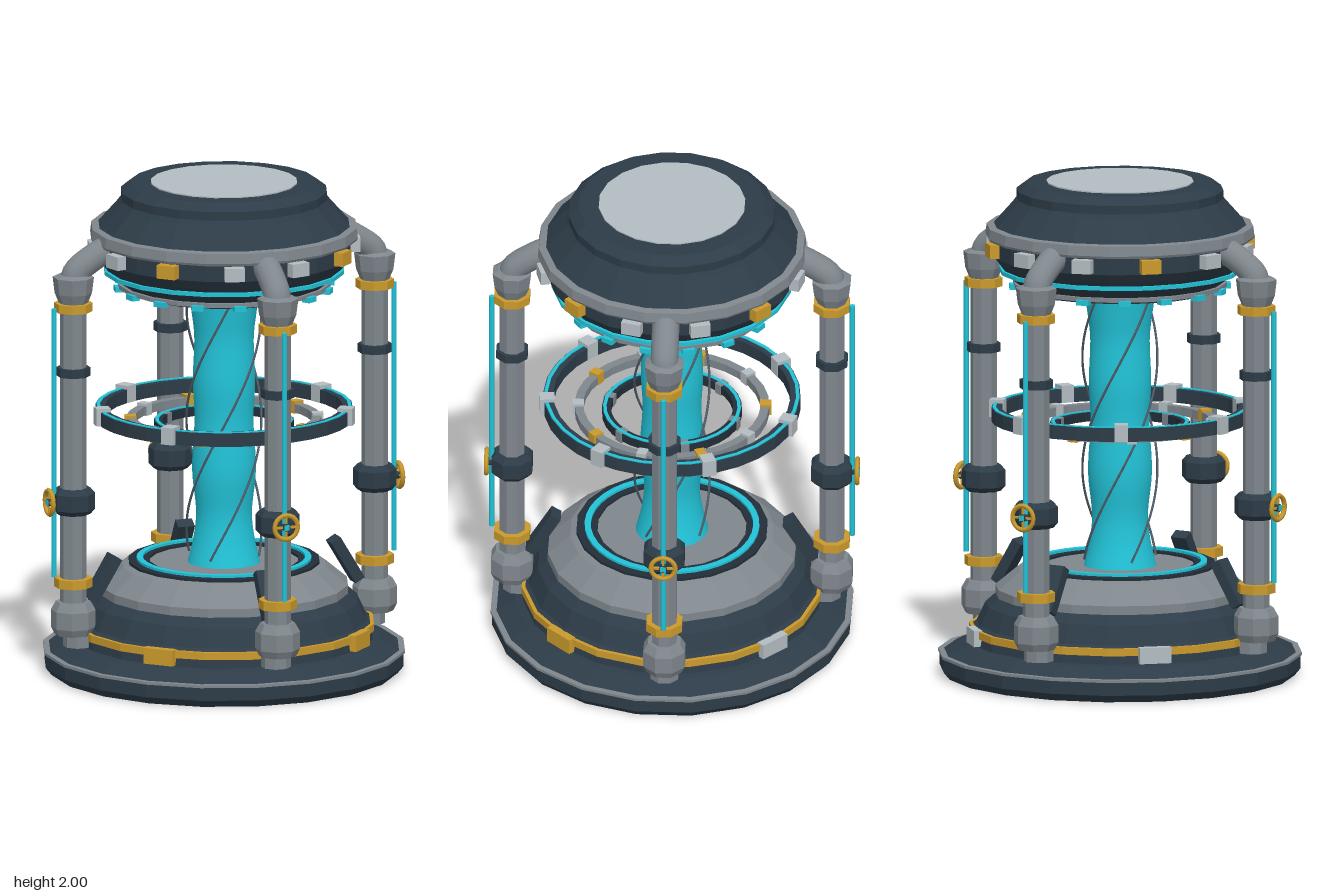
import * as THREE from 'three';

const mat = (name, color) => {
  const m = new THREE.MeshStandardMaterial({ color });
  m.name = name;
  return m;
};

export function createModel() {
  const dark = mat('dark blue steel', 0x2d3c48);
  const black = mat('deep steel', 0x232e38);
  const grey = mat('grey steel', 0x7f878d);
  const light = mat('light panel', 0xb3bdc2);
  const gold = mat('gold', 0xcb9a2c);
  const teal = mat('glowing teal', 0x22c3d8);
  const wire = mat('wire grey', 0x52606b);

  const root = new THREE.Group();
  root.name = 'containmentChamber';

  const add = (parent, name, geo, material, x = 0, y = 0, z = 0) => {
    const m = new THREE.Mesh(geo, material);
    m.name = name;
    m.position.set(x, y, z);
    parent.add(m);
    return m;
  };
  // Faceted or smooth turned part from [radius, height] pairs, bottom to top
  const turned = (parts, sides = 20, smooth = false) => {
    const g = new THREE.LatheGeometry(parts.map(([r, y]) => new THREE.Vector2(r, y)), sides);
    if (smooth) return g;
    const f = g.toNonIndexed();
    f.computeVertexNormals();
    return f;
  };
  // Ring with a rectangular section
  const band = (r0, r1, y0, y1, sides = 20) =>
    turned([[r0, y0], [r1, y0], [r1, y1], [r0, y1], [r0, y0]], sides);
  const box = (w, h, d) => new THREE.BoxGeometry(w, h, d);
  // Blocks spread round the axis, facing outward
  const around = (name, n, r, y, size, pick, start = 0) => {
    for (let i = 0; i < n; i++) {
      const a = start + (i / n) * Math.PI * 2;
      const m = add(root, name, box(...size), pick(i), Math.sin(a) * r, y, Math.cos(a) * r);
      m.rotation.y = a;
    }
  };

  // Base
  add(root, 'baseFlange', turned([[0, 0], [0.7, 0], [0.725, 0.03], [0.725, 0.085], [0.63, 0.13],
    [0.6, 0.135], [0.59, 0.2], [0.575, 0.21], [0.54, 0.285], [0.5, 0.32], [0, 0.32]]), dark);
  add(root, 'baseLip', band(0.7, 0.73, 0.083, 0.094), grey);
  add(root, 'goldBand', band(0.57, 0.605, 0.17, 0.2), gold);
  around('baseBadge', 4, 0.598, 0.172, [0.13, 0.065, 0.035], i => (i < 2 ? gold : light));
  add(root, 'pedestal', turned([[0.48, 0.31], [0.5, 0.32], [0.5, 0.355], [0.41, 0.43], [0.38, 0.44], [0, 0.44]]), grey);
  add(root, 'pedestalRim', band(0.3, 0.385, 0.43, 0.45), black);
  add(root, 'pedestalGlow', band(0.325, 0.35, 0.44, 0.46, 40), teal);

  // Energy column with helical wires
  const column = new THREE.SplineCurve([[0.145, 0.44], [0.122, 0.54], [0.112, 0.65], [0.128, 0.82], [0.118, 1.02],
    [0.125, 1.18], [0.119, 1.35], [0.13, 1.46], [0.148, 1.58]].map(p => new THREE.Vector2(...p)));
  add(root, 'energyColumn', turned(column.getPoints(40).map(p => [p.x, p.y]), 32, true), teal);
  for (let k = 0; k < 4; k++) {
    const pts = [];
    for (let i = 0; i <= 24; i++) {
      const y = 0.47 + (i / 24) * 1.1;
      const a = ((y - 1.35) / 1.8 + k / 4) * Math.PI * 2;
      pts.push(new THREE.Vector3(Math.sin(a) * 0.15, y, Math.cos(a) * 0.15));
    }
    add(root, 'helixWire', new THREE.TubeGeometry(new THREE.CatmullRomCurve3(pts), 60, 0.005, 5), wire);
  }

  // Floating rings
  add(root, 'outerRing', band(0.475, 0.515, 1.025, 1.08, 32), dark);
  add(root, 'outerRingGlow', band(0.497, 0.511, 1.077, 1.084, 32), teal);
  around('outerRingBlock', 7, 0.5, 1.06, [0.055, 0.07, 0.06], () => light);
  add(root, 'middleRing', band(0.355, 0.39, 1.0, 1.035, 32), grey);
  around('middleRingBlock', 10, 0.375, 1.02, [0.04, 0.05, 0.045], i => (i % 2 ? light : gold), 0.2);
  add(root, 'innerRing', band(0.245, 0.28, 0.985, 1.02, 32), black);
  add(root, 'innerRingGlow', band(0.262, 0.276, 1.017, 1.024, 32), teal);
  around('innerRingBlock', 6, 0.263, 1.0, [0.035, 0.045, 0.042], () => grey, 0.5);

  // Head
  add(root, 'headBody', turned([[0, 1.58], [0.4, 1.58], [0.45, 1.62], [0.485, 1.665], [0.51, 1.7], [0.51, 1.82],
    [0.43, 1.91], [0.415, 1.93], [0.415, 1.965], [0.375, 1.995], [0, 1.995]]), dark);
  add(root, 'headUnderside', turned([[0, 1.565], [0.4, 1.565], [0.4, 1.585]]), black);
  add(root, 'headLowerTrim', band(0.39, 0.43, 1.575, 1.592), grey);
  add(root, 'headGlow', band(0.44, 0.485, 1.632, 1.648), teal);
  add(root, 'headBand', turned([[0.49, 1.77], [0.535, 1.77], [0.54, 1.78], [0.535, 1.82], [0.5, 1.825]]), grey);
  add(root, 'headCap', turned([[0.295, 1.99], [0.295, 2], [0, 2]]), light);
  around('headBlock', 12, 0.525, 1.735, [0.08, 0.055, 0.04], i => (i % 3 ? light : gold));
  around('headTealStud', 16, 0.425, 1.572, [0.05, 0.022, 0.035], () => teal, 0.2);

  // Four corner posts, each built along local +z
  const R = 0.64;
  for (let k = 0; k < 4; k++) {
    const post = new THREE.Group();
    post.name = 'post';
    post.rotation.y = Math.PI / 4 + (k * Math.PI) / 2;
    root.add(post);
    const oct = (name, profile, material, z = R) => {
      add(post, name, turned(profile, 8), material, 0, 0, z).rotation.y = Math.PI / 8;
    };
    const collar = (name, r, y0, y1, material) =>
      oct(name, [[0.04, y0], [r, y0], [r, y1], [0.04, y1]], material);

    oct('postShaft', [[0.053, 0.28], [0.053, 1.58]], grey);
    oct('postFootSole', [[0, 0.14], [0.06, 0.14], [0.06, 0.21]], grey, R - 0.02);
    oct('postFoot', [[0, 0.19], [0.075, 0.19], [0.09, 0.22], [0.09, 0.29], [0.07, 0.325], [0.04, 0.325]], grey);
    oct('postHead', [[0.055, 1.54], [0.075, 1.59], [0.083, 1.655], [0.06, 1.665], [0, 1.665]], grey);
    collar('lowerCollar', 0.077, 0.385, 0.422, gold);
    collar('upperCollar', 0.077, 1.515, 1.55, gold);
    collar('darkCollar', 0.068, 1.25, 1.285, dark);
    oct('clamp', [[0.04, 0.685], [0.07, 0.685], [0.088, 0.705], [0.088, 0.77], [0.07, 0.79], [0.04, 0.79]], dark);
    add(post, 'lightRod', new THREE.CylinderGeometry(0.011, 0.011, 1.1, 8), teal, 0, 0.98, 0.722);

    // Elbow into the head
    const path = new THREE.CatmullRomCurve3([[1.62, R], [1.67, 0.63], [1.725, 0.56], [1.755, 0.5], [1.765, 0.45]]
      .map(([y, z]) => new THREE.Vector3(0, y, z)));
    add(post, 'elbowArm', new THREE.TubeGeometry(path, 16, 0.055, 14), grey);

    // Brace leaning on the pedestal
    add(post, 'brace', box(0.07, 0.2, 0.045), dark, 0, 0.41, 0.515).rotation.x = -0.54;

    // Valve wheel
    const stem = add(post, 'valveStem', new THREE.CylinderGeometry(0.016, 0.016, 0.05, 8), dark, 0, 0.737, 0.725);
    stem.rotation.x = Math.PI / 2;
    add(post, 'valveWheel', new THREE.TorusGeometry(0.049, 0.01, 6, 20), gold, 0, 0.737, 0.742);
    add(post, 'valveSpoke', box(0.095, 0.009, 0.009), gold, 0, 0.737, 0.742);
    add(post, 'valveSpoke', box(0.009, 0.095, 0.009), gold, 0, 0.737, 0.742);
    add(post, 'valveHub', box(0.022, 0.022, 0.016), teal, 0, 0.737, 0.745);
  }

  return root;
}
